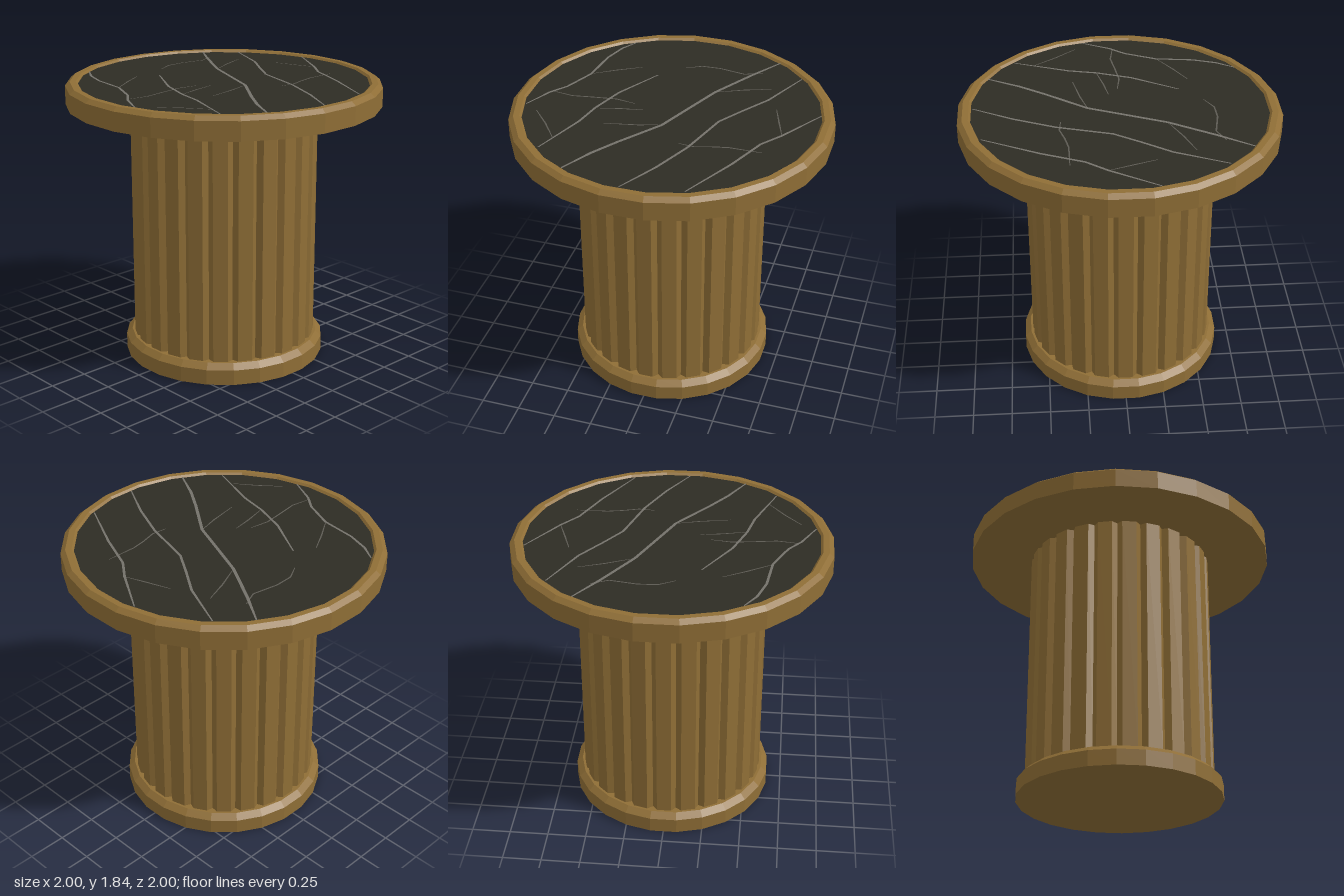
import * as THREE from 'three';

const SIDES = 24;
const STEP = (Math.PI * 2) / SIDES;
const MARBLE_Y = 1.822;

const wood = new THREE.MeshStandardMaterial({ color: 0x8f6e36, flatShading: true });
wood.name = 'wood';
const marble = new THREE.MeshStandardMaterial({ color: 0x2d2c24 });
marble.name = 'darkMarble';
const vein = new THREE.MeshStandardMaterial({ color: 0x74716a });
vein.name = 'paleVein';
const fineVein = new THREE.MeshStandardMaterial({ color: 0x5c5a53 });
fineVein.name = 'fineVein';

function addMesh(group, name, geometry, material) {
  const mesh = new THREE.Mesh(geometry, material);
  mesh.name = name;
  group.add(mesh);
  return mesh;
}

// Faceted turned part; radii are measured to the middle of the flats
function turned(profile) {
  const k = 1 / Math.cos(STEP / 2);
  const points = profile.map(([r, y]) => new THREE.Vector2(r * k, y));
  return new THREE.LatheGeometry(points, SIDES, STEP / 2);
}

// Column cross-section: flat ridges separated by V grooves
function flutedColumn(bottom, top) {
  const outer = 0.602, inner = 0.57, half = THREE.MathUtils.degToRad(4.4);
  const points = [];
  const put = (r, a) => points.push(new THREE.Vector2(r * Math.cos(a), r * Math.sin(a)));
  for (let i = 0; i < SIDES; i++) {
    put(outer, i * STEP - half);
    put(outer, i * STEP + half);
    put(inner, (i + 0.5) * STEP);
  }
  const geometry = new THREE.ExtrudeGeometry(new THREE.Shape(points), {
    depth: top - bottom, bevelEnabled: false,
  });
  return geometry.rotateX(-Math.PI / 2).translate(0, bottom, 0);
}

// Thin flat ribbon following [x, z] points, narrowing towards its ends
function ribbon(path, width, y) {
  const positions = [], normals = [], index = [];
  const last = path.length - 1;
  path.forEach(([x, z], i) => {
    const a = path[Math.max(i - 1, 0)], b = path[Math.min(i + 1, last)];
    const dx = b[0] - a[0], dz = b[1] - a[1], len = Math.hypot(dx, dz);
    const h = (width / 2) * (i === 0 || i === last ? 0.5 : 1);
    const ox = (dz / len) * h, oz = (-dx / len) * h;
    positions.push(x + ox, y, z + oz, x - ox, y, z - oz);
    normals.push(0, 1, 0, 0, 1, 0);
    if (i < last) {
      const n = i * 2;
      index.push(n, n + 1, n + 2, n + 1, n + 3, n + 2);
    }
  });
  const geometry = new THREE.BufferGeometry();
  geometry.setAttribute('position', new THREE.Float32BufferAttribute(positions, 3));
  geometry.setAttribute('normal', new THREE.Float32BufferAttribute(normals, 3));
  geometry.setIndex(index);
  return geometry;
}

const MAIN_VEINS = [
  [[-0.77, -0.51], [-0.56, -0.37], [-0.28, -0.2], [0, -0.08], [0.2, 0.005], [0.46, 0.2], [0.62, 0.31], [0.82, 0.42]],
  [[-0.6, -0.69], [-0.28, -0.545], [-0.1, -0.42], [0.06, -0.315], [0.4, -0.215], [0.66, -0.1], [0.91, 0.04]],
  [[-0.18, -0.9], [0.11, -0.72], [0.24, -0.62], [0.5, -0.51], [0.85, -0.33]],
  [[-0.78, 0.48], [-0.67, 0.55], [-0.52, 0.6], [-0.28, 0.63], [-0.08, 0.72], [0.02, 0.8], [0.2, 0.89]],
  [[-0.39, 0.21], [-0.1, 0.38], [0.12, 0.46], [0.3, 0.5], [0.65, 0.63]],
];

const FINE_VEINS = [
  [[-0.18, -0.62], [-0.03, -0.67], [0.1, -0.715]],
  [[0.33, -0.65], [0.33, -0.45], [0.35, -0.35], [0.38, -0.25], [0.37, -0.15]],
  [[-0.42, -0.53], [-0.36, -0.37], [-0.29, -0.22]],
  [[-0.61, -0.43], [-0.56, -0.32], [-0.59, -0.15], [-0.585, -0.03], [-0.53, 0.07]],
  [[0.2, 0.01], [0.24, 0.15], [0.28, 0.35]],
  [[0.06, 0.17], [0.085, 0.31], [0.12, 0.45]],
  [[0, 0.24], [-0.02, 0.37], [0, 0.52], [0.02, 0.65], [0, 0.78]],
  [[-0.46, 0.34], [-0.38, 0.48], [-0.29, 0.62]],
  [[0.52, 0.59], [0.38, 0.69], [0.25, 0.8]],
];

export function createModel() {
  const table = new THREE.Group();
  table.name = 'pedestalTable';

  // Foot with chamfered upper edge
  addMesh(table, 'base', turned([[0, 0], [0.653, 0], [0.653, 0.1], [0.615, 0.135], [0, 0.135]]), wood);

  // Fluted pedestal
  addMesh(table, 'flutedColumn', flutedColumn(0.13, 1.695), wood);

  // Table top with chamfered rim and a shallow recess
  addMesh(table, 'tabletopRim', turned([
    [0, 1.69], [1, 1.69], [1, 1.81], [0.97, 1.835], [0.932, 1.835], [0.912, 1.815],
  ]), wood);

  // Marble inlay
  const inlay = new THREE.CircleGeometry(0.918 / Math.cos(STEP / 2), SIDES, STEP / 2);
  addMesh(table, 'marbleInlay', inlay.rotateX(-Math.PI / 2).translate(0, MARBLE_Y, 0), marble);

  // Veins laid on the marble
  const veins = new THREE.Group();
  veins.name = 'marbleVeins';
  MAIN_VEINS.forEach((path, i) => {
    addMesh(veins, `mainVein${i + 1}`, ribbon(path, i === 0 ? 0.02 : 0.016, MARBLE_Y + 0.004), vein);
  });
  FINE_VEINS.forEach((path, i) => {
    addMesh(veins, `fineVein${i + 1}`, ribbon(path, 0.01, MARBLE_Y + 0.003), fineVein);
  });
  table.add(veins);

  return table;
}
